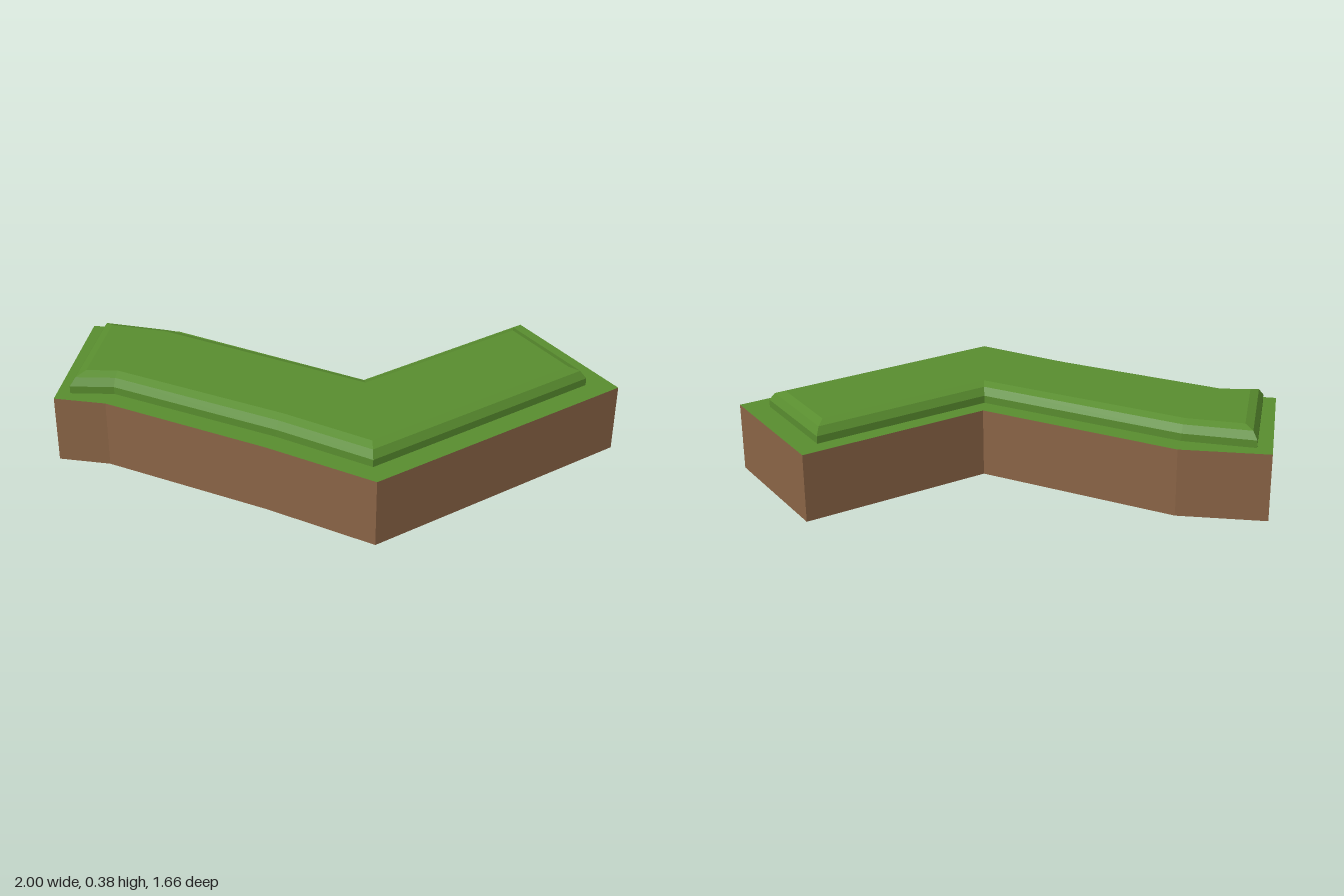
import * as THREE from 'three';

// Plan outlines as [x, z], clockwise seen from above
const BASE = [[-1, -0.38], [-0.59, -0.83], [-0.3, -0.58], [0.15, 0.2], [1, 0.2],
  [1, 0.83], [-0.23, 0.83], [-0.46, 0.4], [-0.84, -0.23]];
const RIDGE = [[-0.925, -0.38], [-0.58, -0.745], [-0.365, -0.52], [0.1, 0.27], [0.9, 0.27],
  [0.9, 0.74], [-0.185, 0.74], [-0.385, 0.36], [-0.775, -0.275]];

// Mitred inward offset of an outline
function inset(pts, d) {
  const n = pts.length;
  const normal = (a, b) => {
    const dx = b[0] - a[0], dz = b[1] - a[1], l = Math.hypot(dx, dz);
    return [-dz / l, dx / l];
  };
  return pts.map((p, i) => {
    const u = normal(pts[(i + n - 1) % n], p), v = normal(p, pts[(i + 1) % n]);
    const k = d / (1 + u[0] * v[0] + u[1] * v[1]);
    return [p[0] + (u[0] + v[0]) * k, p[1] + (u[1] + v[1]) * k];
  });
}

function geometryFrom(positions) {
  const g = new THREE.BufferGeometry();
  g.setAttribute('position', new THREE.Float32BufferAttribute(positions, 3));
  g.computeVertexNormals();
  return g;
}

// Flat-faced walls through a stack of [inset, height] rings
function walls(outline, rings) {
  const out = [];
  const loops = rings.map(([d, y]) => inset(outline, d).map(([x, z]) => [x, y, z]));
  for (let r = 0; r + 1 < loops.length; r++) {
    for (let i = 0; i < outline.length; i++) {
      const j = (i + 1) % outline.length;
      const a = loops[r][i], b = loops[r][j], c = loops[r + 1][j], d = loops[r + 1][i];
      out.push(...a, ...d, ...c, ...a, ...c, ...b);
    }
  }
  return geometryFrom(out);
}

// Flat cap facing up or down
function cap(outline, y, up) {
  const out = [];
  const pts = outline.map(([x, z]) => new THREE.Vector2(x, z));
  for (const [i, j, k] of THREE.ShapeUtils.triangulateShape(pts, [])) {
    const area = THREE.ShapeUtils.area([pts[i], pts[j], pts[k]]);
    const order = (area < 0) === up ? [i, j, k] : [i, k, j];
    for (const q of order) out.push(pts[q].x, y, pts[q].y);
  }
  return geometryFrom(out);
}

export function createModel() {
  const soil = new THREE.MeshStandardMaterial({ name: 'soil brown', color: 0x8a6446 });
  const grass = new THREE.MeshStandardMaterial({ name: 'grass green', color: 0x598d2f });
  const model = new THREE.Group();
  model.name = 'bentHedgeBed';
  const add = (name, geometry, material) => {
    const mesh = new THREE.Mesh(geometry, material);
    mesh.name = name;
    model.add(mesh);
  };

  // Earth block with a grass top
  add('soilSides', walls(BASE, [[0, 0], [0, 0.3]]), soil);
  add('soilBottom', cap(BASE, 0, false), soil);
  add('grassBorder', cap(BASE, 0.3, true), grass);

  // Raised turf with a steep edge and a soft bevel
  add('turfEdge', walls(RIDGE, [[0, 0.3], [0, 0.333], [0.02, 0.366], [0.055, 0.38]]), grass);
  add('turfTop', cap(inset(RIDGE, 0.055), 0.38, true), grass);
  return model;
}
